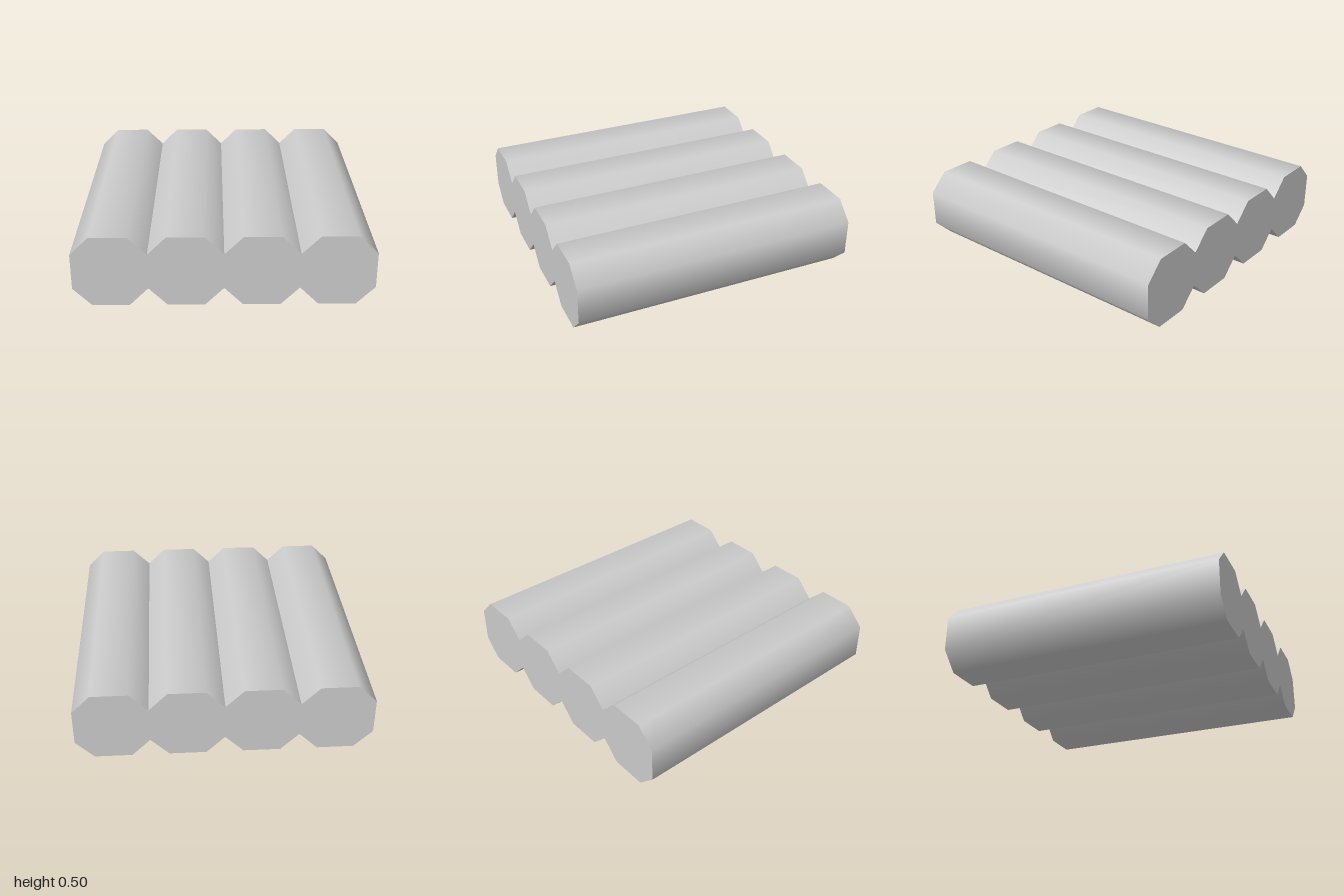
import * as THREE from 'three';

const LOGS = 4, WIDTH = 0.5, CUT = 0.125, LENGTH = 2;

// Centre x of log i, counted from the -x side
const centre = (i) => (i - (LOGS - 1) / 2) * WIDTH;

// Shared outline of the row of eight-sided logs
function raftOutline() {
  const lower = [], upper = [];
  const h = WIDTH / 2;
  lower.push([-LOGS * h, CUT]);
  for (let i = 0; i < LOGS; i++) {
    const x = centre(i);
    lower.push([x - CUT, 0], [x + CUT, 0], [x + h, CUT]);
  }
  for (const [x, y] of lower) upper.unshift([x, WIDTH - y]);
  return new THREE.Shape([...lower, ...upper].map(([x, y]) => new THREE.Vector2(x, y)));
}

// Round the shading along each log; the grooves and flat ends stay sharp
function roundNormals(geometry) {
  const p = geometry.attributes.position, n = geometry.attributes.normal;
  const long = Math.cos(Math.PI / 8), short = Math.sin(Math.PI / 8);
  for (let k = 0; k < p.count; k++) {
    if (Math.abs(n.getZ(k)) > 0.5) continue;
    const x = p.getX(k), y = p.getY(k) - WIDTH / 2;
    const i = THREE.MathUtils.clamp(Math.floor(x / WIDTH + LOGS / 2), 0, LOGS - 1);
    const dx = x - centre(i);
    const side = Math.abs(dx) > 0.2;
    const groove = side && Math.abs(x) < 0.9;
    if (groove) continue;
    n.setXYZ(k, Math.sign(dx) * (side ? long : short), Math.sign(y) * (side ? short : long), 0);
  }
  return geometry;
}

export function createModel() {
  const group = new THREE.Group();
  group.name = 'logRaft';
  const geometry = new THREE.ExtrudeGeometry(raftOutline(), { depth: LENGTH, bevelEnabled: false });
  geometry.translate(0, 0, -LENGTH / 2);
  const logs = new THREE.Mesh(
    roundNormals(geometry),
    new THREE.MeshStandardMaterial({ color: 0xcccccc })
  );
  logs.name = 'joinedLogs';
  group.add(logs);
  return group;
}
